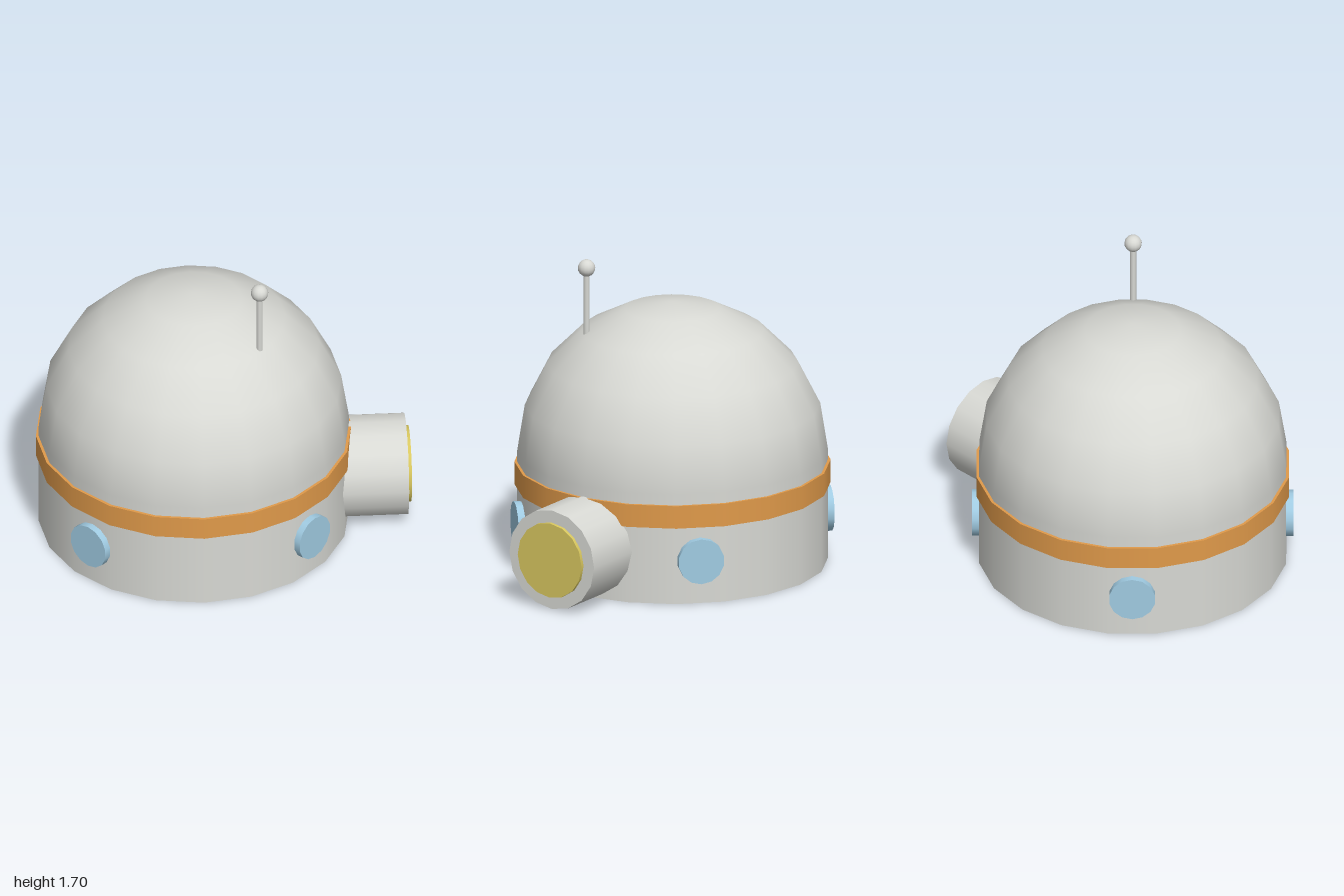
import * as THREE from 'three';

const material = (name, color) => new THREE.MeshStandardMaterial({ name, color });

export function createModel() {
  const grey = material('hull grey', 0xd8d9d4);
  const orange = material('band orange', 0xe09a4a);
  const blue = material('window blue', 0xa0cbe2);
  const yellow = material('hatch yellow', 0xd8c75f);

  const model = new THREE.Group();
  model.name = 'domeHabitat';
  const add = (name, geometry, mat, x, y, z) => {
    const mesh = new THREE.Mesh(geometry, mat);
    mesh.name = name;
    mesh.position.set(x, y, z);
    model.add(mesh);
    return mesh;
  };

  const cx = -0.155; // dome axis
  const radius = 0.83;
  const wall = 0.61; // wall height
  const sides = 20;

  // Round wall and domed roof
  add('wall', new THREE.CylinderGeometry(radius, radius, wall, sides), grey, cx, wall / 2, 0);
  add('dome', new THREE.SphereGeometry(radius, sides, 5, 0, Math.PI * 2, 0, Math.PI / 2), grey, cx, wall, 0);

  // Painted band around the wall
  add('band', new THREE.CylinderGeometry(0.845, 0.845, 0.125, sides), orange, cx, 0.4875, 0);

  // Entrance tunnel with its hatch, on the left side
  const tunnel = new THREE.CylinderGeometry(0.275, 0.275, 0.46, 16).rotateZ(-Math.PI / 2);
  add('entranceTunnel', tunnel, grey, 0.75, 0.28, 0);
  const hatch = new THREE.CylinderGeometry(0.207, 0.207, 0.04, 16).rotateZ(-Math.PI / 2);
  add('hatch', hatch, yellow, 0.98, 0.28, 0);

  // Four round windows on the diagonals
  const pane = new THREE.CylinderGeometry(0.125, 0.125, 0.05, 14).rotateX(Math.PI / 2);
  for (let i = 0; i < 4; i++) {
    const a = Math.PI / 4 + (i * Math.PI) / 2;
    const d = 0.833;
    add('window', pane, blue, cx + Math.sin(a) * d, 0.24, Math.cos(a) * d).rotation.y = a;
  }

  // Antenna with a ball tip
  add('antennaRod', new THREE.CylinderGeometry(0.017, 0.017, 0.37, 8), grey, 0.175, 1.465, 0.33);
  add('antennaBall', new THREE.SphereGeometry(0.047, 14, 10), grey, 0.175, 1.65, 0.33);

  return model;
}
